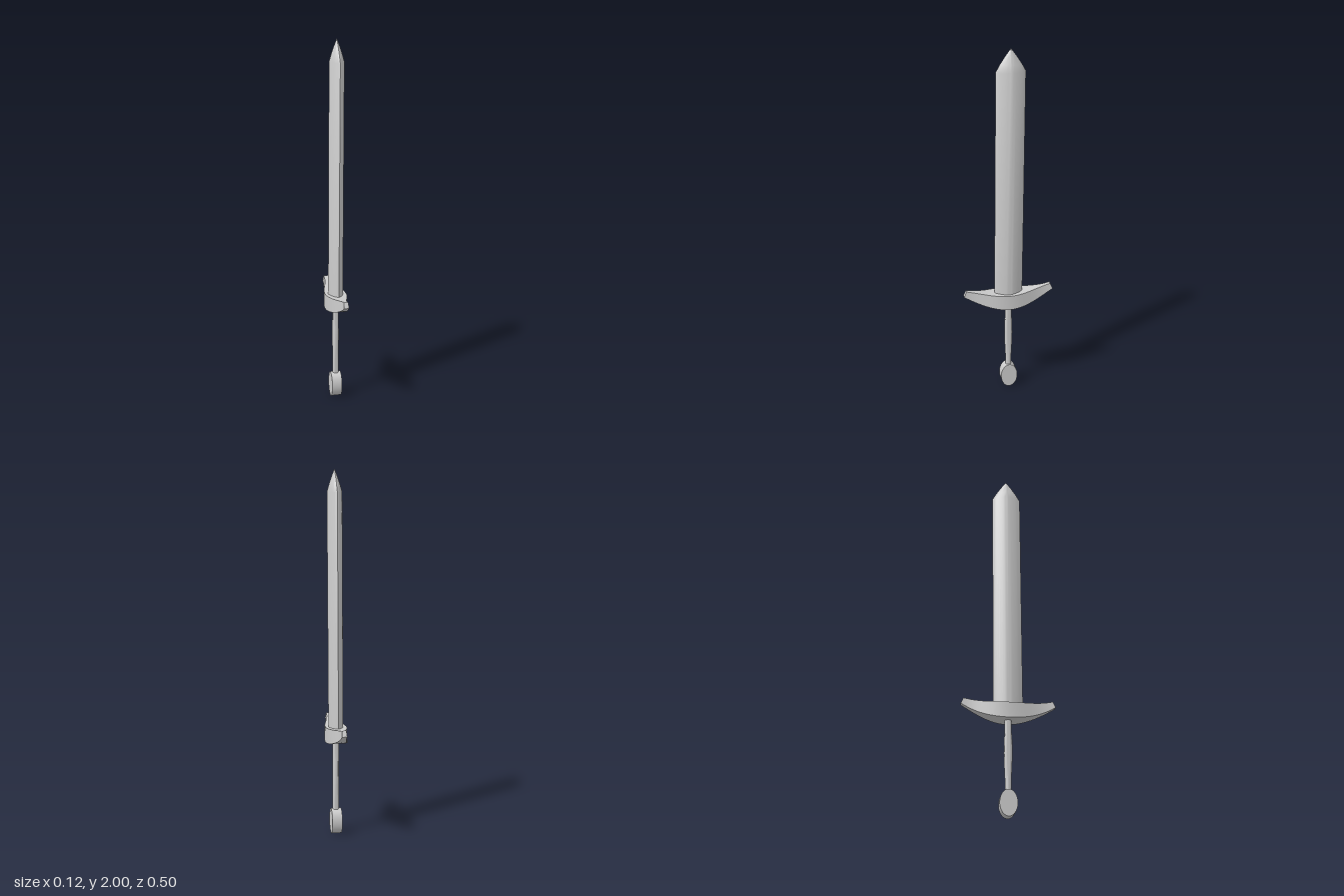
import * as THREE from 'three';
import { toCreasedNormals } from 'three/addons/utils/BufferGeometryUtils.js';

const material = new THREE.MeshStandardMaterial({ color: 0xcccccc });

// Skin a list of closed rings (counter-clockwise seen from the last ring) and cap both ends
function loft(rings, crease) {
  const n = rings[0].length;
  const index = [];
  rings.slice(1).forEach((_, r) => {
    for (let i = 0; i < n; i++) {
      const a = r * n + i, b = r * n + (i + 1) % n;
      index.push(a, b, b + n, a, b + n, a + n);
    }
  });
  const last = (rings.length - 1) * n;
  for (let i = 1; i < n - 1; i++) {
    index.push(0, i + 1, i, last, last + i, last + i + 1);
  }
  const geometry = new THREE.BufferGeometry();
  geometry.setAttribute('position', new THREE.Float32BufferAttribute(rings.flat(2), 3));
  geometry.setIndex(index);
  return toCreasedNormals(geometry, crease);
}

// Horizontal ring; power 1 is an ellipse, larger powers approach a diamond
function ring(cx, y, cz, rx, rz, power = 1, sides = 32) {
  const bend = v => Math.sign(v) * Math.abs(v) ** power;
  return Array.from({ length: sides }, (_, i) => {
    const a = (i / sides) * Math.PI * 2;
    return [cx + rx * bend(Math.cos(a)), y, cz - rz * bend(Math.sin(a))];
  });
}

function addPart(group, name, geometry) {
  const mesh = new THREE.Mesh(geometry, material);
  mesh.name = name;
  group.add(mesh);
  return mesh;
}

export function createModel() {
  const group = new THREE.Group();
  group.name = 'sword';

  // Blade: soft diamond section, leaning very slightly, closing to a point
  const bladeRings = [[0.58, 1], [1.88, 1], [1.92, 0.72], [1.96, 0.39], [1.99, 0.11], [2, 0.005]]
    .map(([y, s]) => {
      const t = (y - 0.58) / 1.42;
      return ring(0.01 * t, y, -0.012 * t, 0.041 * s, 0.079 * s, 1.4);
    });
  addPart(group, 'blade', loft(bladeRings, 0.6));

  // Crossguard: boat shape, ends swept upward and narrowed
  const guardRings = [];
  for (let i = 0; i <= 24; i++) {
    const t = i / 12 - 1;
    const taper = (1 + Math.cos(Math.PI * t)) / 2;
    const top = 0.605 + 0.03 * t * t, bottom = 0.52 + 0.083 * t * t;
    const wTop = 0.011 + 0.047 * taper, wBottom = 0.014 + 0.044 * taper;
    guardRings.push([
      [wTop, top, 0.238 * t], [-wTop, top, 0.238 * t],
      [-wBottom, bottom, 0.252 * t], [wBottom, bottom, 0.252 * t],
    ]);
  }
  addPart(group, 'crossguard', loft(guardRings, 0.6));

  // Grip: slim rod, slightly swollen front to back in the middle
  const gripRings = [[0.12, 0.016], [0.2, 0.017], [0.28, 0.021], [0.34, 0.023], [0.41, 0.022], [0.46, 0.018], [0.54, 0.018]]
    .map(([y, rz]) => ring(0, y, 0, 0.018, rz));
  addPart(group, 'grip', loft(gripRings, 0.6));

  // Pommel: thick oval disc facing sideways
  const disc = new THREE.CylinderGeometry(1, 1, 0.056, 40).rotateZ(Math.PI / 2).scale(1, 0.071, 0.047);
  addPart(group, 'pommel', disc).position.set(-0.001, 0.071, 0);

  return group;
}
